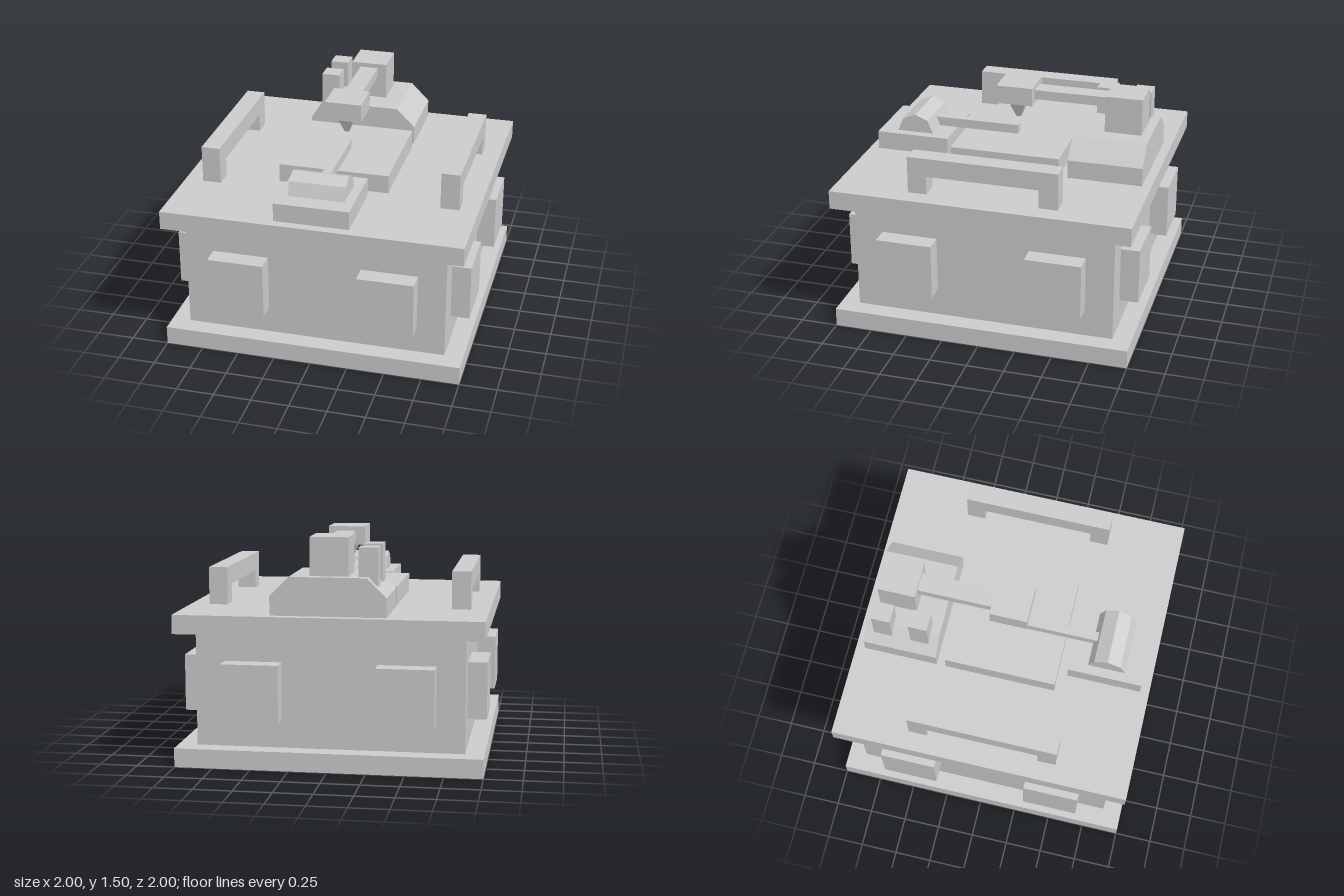
import * as THREE from 'three';

const material = new THREE.MeshStandardMaterial({ color: 0xcccccc, flatShading: true });

export function createModel() {
  const model = new THREE.Group();
  model.name = 'machine';

  const add = (name, geometry) => {
    const mesh = new THREE.Mesh(geometry, material);
    mesh.name = name;
    model.add(mesh);
    return mesh;
  };

  // Box given by its lower and upper limits on each axis
  const box = (name, [x0, x1], [y0, y1], [z0, z1]) => {
    const mesh = add(name, new THREE.BoxGeometry(x1 - x0, y1 - y0, z1 - z0));
    mesh.position.set((x0 + x1) / 2, (y0 + y1) / 2, (z0 + z1) / 2);
    return mesh;
  };

  // Outline extruded to a depth, centred on z
  const prism = (name, points, depth) => {
    const shape = new THREE.Shape(points.map(([x, y]) => new THREE.Vector2(x, y)));
    const geometry = new THREE.ExtrudeGeometry(shape, { depth, bevelEnabled: false });
    return add(name, geometry.translate(0, 0, -depth / 2));
  };

  // Cabinet between two wide slabs
  box('baseSlab', [-1, 1], [0, 0.125], [-1, 1]);
  box('cabinet', [-0.875, 0.875], [0.125, 0.875], [-0.875, 0.875]);
  box('topSlab', [-1, 1], [0.875, 1], [-1, 1]);

  // Two raised panels on each of the four sides
  for (let i = 0; i < 4; i++) {
    const side = new THREE.Group();
    side.name = 'sidePanels';
    side.rotation.y = i * Math.PI / 2;
    for (const s of [-1, 1]) {
      const panel = box('panel', [-0.1875, 0.1875], [0.3125, 0.6875], [0.875, 1]);
      panel.position.x = s * 0.5;
      side.add(panel);
    }
    model.add(side);
  }

  // Arched handles along the left and right edges
  const arch = [[-0.5, 0], [-0.375, 0], [-0.375, 0.125], [0.375, 0.125],
    [0.375, 0], [0.5, 0], [0.5, 0.25], [-0.5, 0.25]];
  for (const s of [-1, 1]) {
    const handle = prism(s > 0 ? 'leftHandle' : 'rightHandle', arch, 0.125);
    handle.rotation.y = Math.PI / 2;
    handle.position.set(s * 0.8125, 1, 0);
  }

  // Work table, front pad and half-round drum with its feed arm
  box('table', [-0.375, 0.375], [1, 1.125], [-0.375, 0.375]);
  box('frontPad', [-0.25, 0.25], [1, 1.125], [0.4375, 0.9375]);
  const arc = [0, 1, 2, 3, 4].map((i) => [
    0.125 * Math.cos(i * Math.PI / 4), 0.125 * Math.sin(i * Math.PI / 4)]);
  const drum = prism('drum', arc, 0.375);
  drum.rotation.y = Math.PI / 2;
  drum.position.set(0, 1.125, 0.6875);
  box('feedArm', [-0.03, 0.03], [1.125, 1.1875], [0, 0.59]);

  // Chamfered rear housing with its column and two posts
  const housing = prism('rearHousing', [[-0.375, 0], [0.375, 0], [0.375, 0.125],
    [0.25, 0.25], [-0.25, 0.25], [-0.375, 0.125]], 0.5);
  housing.position.set(0, 1, -0.6875);
  box('column', [-0.125, 0.125], [1.25, 1.5], [-0.875, -0.625]);
  for (const z of [-0.5625, -0.8125]) {
    box('post', [-0.3125, -0.1875], [1.125, 1.4375], [z - 0.0625, z + 0.0625]);
  }

  // Overhead beam, tool head and square tapered tip
  box('beam', [-0.0625, 0.0625], [1.405, 1.47], [-0.625, -0.125]);
  box('toolHead', [-0.125, 0.125], [1.375, 1.5], [-0.125, 0.125]);
  const tip = add('toolTip', new THREE.CylinderGeometry(
    0.0625 * Math.SQRT2, 0.0156 * Math.SQRT2, 0.125, 4).rotateY(Math.PI / 4));
  tip.position.y = 1.3125;

  return model;
}
